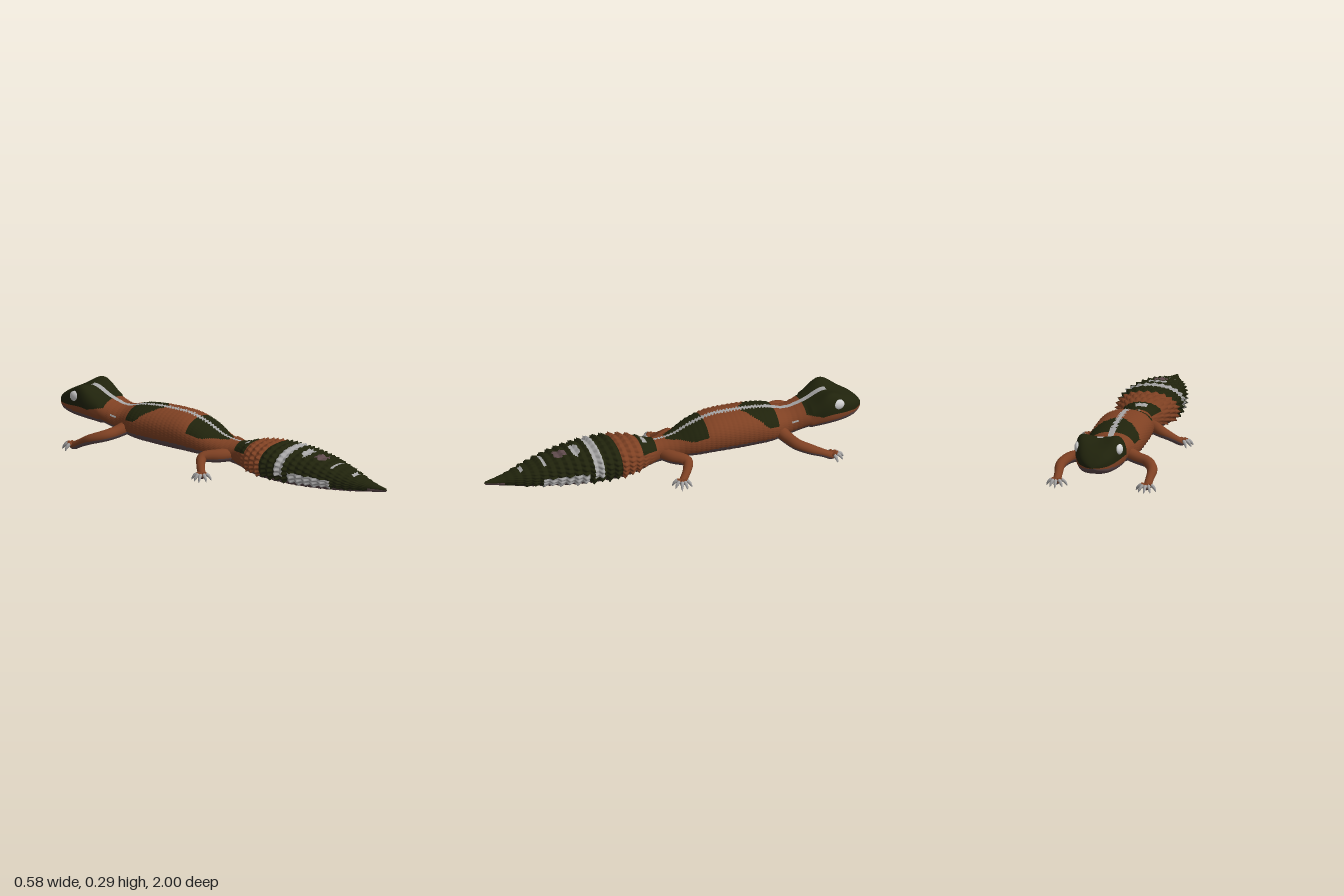
import * as THREE from 'three';

const mat = (name, color) => Object.assign(new THREE.MeshStandardMaterial({ color }), { name });

// Closed tube-like surface: point(i, j) gives vertices, paint(i, j, centre) picks a material index
function surface(name, rows, cols, point, paint, materials) {
  const pos = [], grid = [];
  for (let i = 0; i <= rows; i++) {
    grid.push([]);
    for (let j = 0; j < cols; j++) {
      const p = point(i, j);
      grid[i].push(p);
      pos.push(p.x, p.y, p.z);
    }
  }
  const faces = materials.map(() => []);
  for (let i = 0; i < rows; i++) {
    for (let j = 0; j < cols; j++) {
      const k = (j + 1) % cols;
      const a = i * cols + j, b = a + cols, c = i * cols + k, d = c + cols;
      const centre = grid[i][j].clone().add(grid[i + 1][k]).multiplyScalar(0.5);
      faces[paint(i, j, centre)].push(a, b, c, c, b, d);
    }
  }
  const geo = new THREE.BufferGeometry();
  geo.setAttribute('position', new THREE.Float32BufferAttribute(pos, 3));
  geo.setIndex(faces.flat());
  let start = 0;
  faces.forEach((f, m) => {
    if (f.length) geo.addGroup(start, f.length, m);
    start += f.length;
  });
  geo.computeVertexNormals();
  const mesh = new THREE.Mesh(geo, materials);
  mesh.name = name;
  return mesh;
}

// Tapered limb along a smooth path; points are [x, y, z, radius]
function limb(name, points, side, rows, cols, paint, materials) {
  const path = new THREE.CatmullRomCurve3(points.map(p => new THREE.Vector3(p[0] * side, p[1], p[2])));
  const radius = new THREE.CatmullRomCurve3(points.map(p => new THREE.Vector3(p[3], 0, 0)), false, 'catmullrom');
  const up = new THREE.Vector3(0, 1, 0);
  return surface(name, rows, cols, (i, j) => {
    const t = i / rows, a = (j / cols) * Math.PI * 2;
    const tan = path.getTangent(t);
    const s = up.clone().cross(tan).normalize();
    const u = tan.clone().cross(s);
    const r = i === 0 || i === rows ? 0 : radius.getPoint(t).x;
    return path.getPoint(t).addScaledVector(s, r * Math.sin(a)).addScaledVector(u, r * Math.cos(a));
  }, paint, materials);
}

// Half width, underside and back height at every 0.1 from snout to tail tip
const PROFILE = [
  [.05, .142, .20], [.099, .12, .25], [.127, .115, .278], [.113, .105, .237], [.095, .075, .212],
  [.13, .062, .235], [.135, .057, .247], [.135, .055, .25], [.132, .055, .245], [.118, .053, .215],
  [.085, .05, .17], [.068, .035, .157], [.112, .022, .174], [.142, .016, .182], [.145, .014, .184],
  [.138, .015, .177], [.122, .02, .164], [.098, .027, .145], [.07, .037, .12], [.035, .05, .097], [.004, .065, .08],
];
const ROWS = 240, COLS = 96;
const GREEN = 0, ORANGE = 1, BELLY = 2, PALE = 3;
const clamp = THREE.MathUtils.clamp;
const foldAngle = a => Math.min(a, Math.PI * 2 - a);

// Angle from the spine at which the belly colour begins
function bellyLimit(z) {
  if (z < -0.7) return 1.92 + clamp((z + 0.92) * 1.5, 0, 0.14);
  if (z < 0.1) return 1.95;
  return z < 0.9 ? 2.08 : 1.5;
}

// Skin pattern; t is the angle away from the spine, i the row
function skinColour(z, x, t, i) {
  x = Math.abs(x);
  if (t > bellyLimit(z)) return BELLY;
  // Stripe along the spine, ragged behind the neck
  if (z > -0.82 && z < 0.1 && t < (z < -0.5 || i % 2 === 0 ? 0.12 : 0.06)) return PALE;
  if (z < -0.68) return t < 1.65 - clamp((z + 0.76) * 8, 0, 0.6) ? GREEN : ORANGE;
  if (z > -0.645 && z < -0.605 && t > 1.2 && t < 1.33) return PALE;  // shoulder fleck
  if (z < -0.53) return ORANGE;
  if (z < -0.36) return t < 1.25 - clamp((z + 0.48) * 9, 0, 1.1) ? GREEN : ORANGE;
  if (z < -0.16) return ORANGE;
  if (z < 0.04) return t < 1.15 - clamp((z + 0.08) * 7, 0, 0.8) ? GREEN : ORANGE;
  if (z < 0.1) return ORANGE;
  if (z < 0.18) return z > 0.14 && z < 0.165 && x < 0.03 ? PALE : t < 1.1 ? GREEN : ORANGE;
  if (z < 0.31) return ORANGE;
  if (z > 0.41 && z < 0.455 && t < 1.75) return PALE;                // tail band
  if (z > 0.48 && z < 0.72 && t > 1.45) return PALE;                 // side patches
  if (x < 0.06 - Math.abs(z - 0.522) && z > 0.5 && z < 0.545) return PALE;
  if (z > 0.57 && z < 0.635 && x < 0.03) return BELLY;
  if (z > 0.68 && z < 0.7 && x < 0.055) return PALE;
  if (z > 0.8 && z < 0.815 && x < 0.025) return PALE;
  return GREEN;
}

function makeBody(materials) {
  const curve = new THREE.CatmullRomCurve3(PROFILE.map(p => new THREE.Vector3(...p)), false, 'catmullrom');
  return surface('body', ROWS, COLS, (i, j) => {
    const z = -1 + (2 * i) / ROWS, a = (j / COLS) * Math.PI * 2, t = foldAngle(a);
    const { x: w, y: bottom, z: top } = curve.getPoint(i / ROWS);
    // Rounded snout, squarer head section, closed tail tip
    const nose = z < -0.94 ? Math.sqrt(Math.max(0, 1 - ((z + 0.94) / 0.06) ** 2)) : 1;
    const n = z < -0.7 ? 2.9 : 2.2;
    let r = nose * (Math.abs(Math.sin(a)) ** n + Math.abs(Math.cos(a)) ** n) ** (-1 / n);
    if (i === ROWS) r = 0;
    const upper = t < 2.1 ? 1 : 0.3;
    if (z > 0.1) {
      // Whorls of spiny scales on the tail
      const step = i - 132, ring = Math.floor(step / 5), phase = (step - ring * 5) / 4;
      const tooth = Math.abs(((j + (ring % 2) * 2) % 4) - 2) / 2;
      r *= 1 + 0.2 * upper * phase * (0.35 + 0.65 * tooth) * clamp((z - 0.1) * 8, 0, 1) * clamp((1 - z) * 5, 0, 1);
    } else if (z > -0.66) {
      // Small bumps on neck and trunk
      r *= 1 + 0.035 * upper * (i % 3 === 0 && (j + (i % 2)) % 2 === 0 ? 1 : 0);
    }
    // Brow swelling above each eye
    const brow = 0.03 * Math.exp(-(((t - 0.8) / 0.4) ** 2) - ((z + 0.825) / 0.065) ** 2);
    const mid = (top + bottom) / 2;
    return new THREE.Vector3(w * r * Math.sin(a), mid + ((top - bottom) / 2) * r * Math.cos(a) + brow, z);
  }, (i, j, c) => skinColour(c.z, c.x, foldAngle(((j + 0.5) / COLS) * Math.PI * 2), i), materials);
}

// Leg paths and toe tips for the left side; the right side is mirrored
const LEGS = [
  {
    name: 'frontLeg',
    path: [[.07, .13, -.54, .036], [.14, .11, -.57, .031], [.2, .1, -.60, .029], [.235, .08, -.66, .026],
      [.234, .05, -.72, .021], [.233, .026, -.765, .02], [.233, .02, -.785, .012]],
    palm: [.233, .024, -.77],
    toes: [[.175, -.775], [.195, -.812], [.228, -.834], [.258, -.82], [.282, -.785]],
  },
  {
    name: 'hindLeg',
    path: [[.03, .09, .07, .034], [.09, .09, .03, .034], [.15, .085, -.03, .028], [.19, .06, -.015, .022],
      [.22, .035, .012, .02], [.235, .025, .025, .019], [.248, .02, .032, .012]],
    palm: [.235, .026, .025],
    toes: [[.268, -.015], [.287, .015], [.292, .047], [.262, .072], [.225, .078]],
  },
];

function makeLeg(spec, side, materials) {
  const leg = new THREE.Group();
  leg.name = (side > 0 ? 'left ' : 'right ') + spec.name;
  leg.add(limb(spec.name, spec.path, side, 30, 14, (i, j) => (j > 3 && j < 10 ? BELLY : ORANGE), materials));
  const [px, py, pz] = spec.palm;
  for (const [x, z] of spec.toes) {
    // Arched toe ending in a claw
    const at = (f, y, r) => [px + (x - px) * f, y, pz + (z - pz) * f, r];
    leg.add(limb('toe', [at(0, py, .009), at(.4, .036, .009), at(.75, .025, .008), at(1, .004, .002)],
      side, 10, 8, i => (i < 4 ? ORANGE : PALE), materials));
  }
  return leg;
}

export function createModel() {
  const skin = [mat('dark green', 0x20230c), mat('rust orange', 0x7f4123), mat('mauve belly', 0x5f4a4c), mat('pale grey', 0xa6a5a5)];
  const eyeWhite = mat('eye white', 0xd0d0d0);
  const model = new THREE.Group();
  model.name = 'lizard';
  model.add(makeBody(skin));
  const ball = new THREE.SphereGeometry(1, 24, 16);
  for (const side of [1, -1]) {
    for (const spec of LEGS) model.add(makeLeg(spec, side, skin));
    const eye = new THREE.Mesh(ball, eyeWhite);
    eye.name = 'eye';
    eye.position.set(side * 0.103, 0.234, -0.845);
    eye.scale.set(0.021, 0.029, 0.036);
    model.add(eye);
  }
  return model;
}
